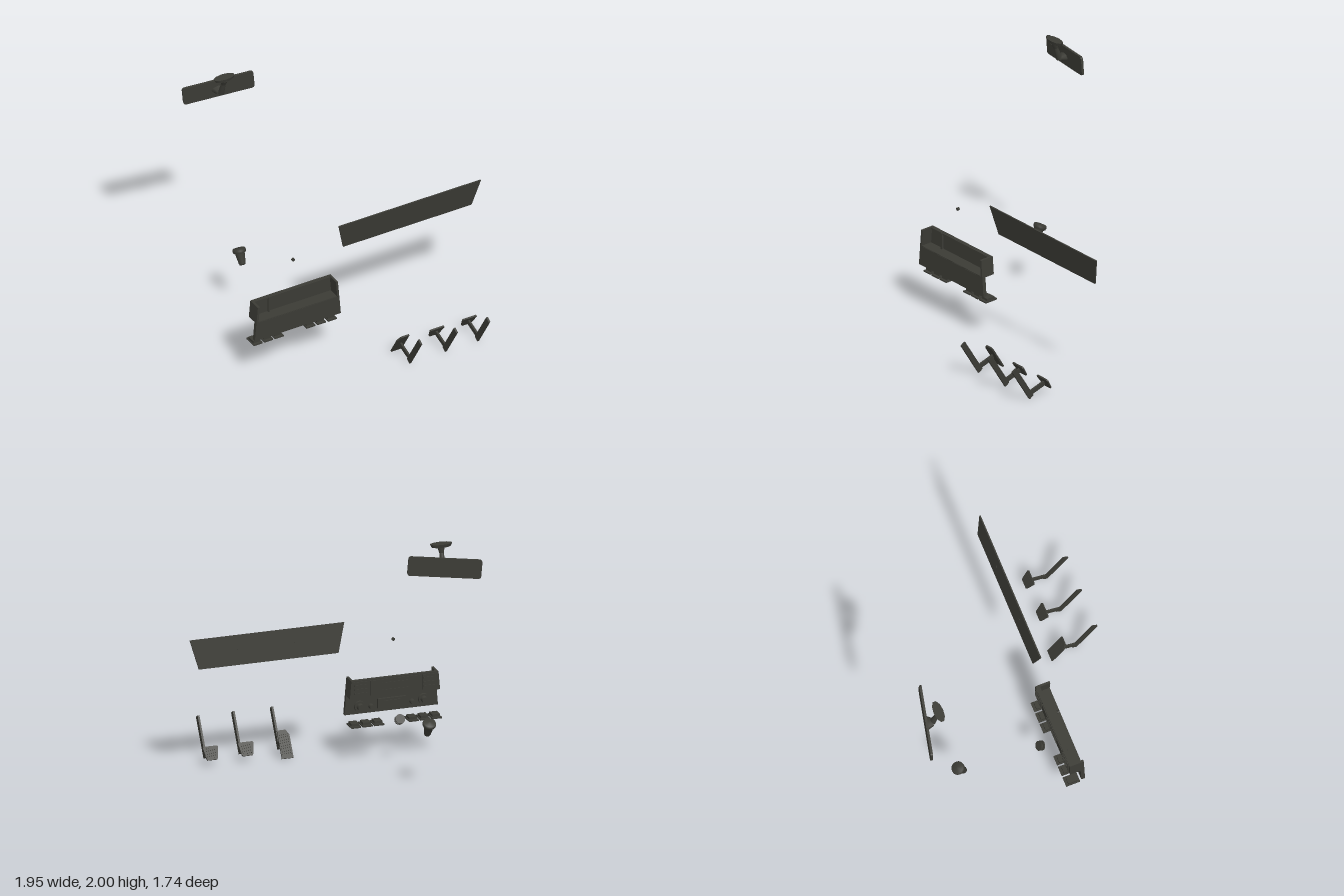
import * as THREE from 'three';

export function createModel() {
  const root = new THREE.Group();
  const mat = new THREE.MeshStandardMaterial({ color: 0x3b3b35 });
  mat.name = 'charcoal trim';

  const group = (name, parent = root) => {
    const g = new THREE.Group();
    g.name = name;
    parent.add(g);
    return g;
  };
  const add = (name, geo, x, y, z, parent = root) => {
    const m = new THREE.Mesh(geo, mat);
    m.name = name;
    m.position.set(x, y, z);
    parent.add(m);
    return m;
  };
  const box = (name, w, h, d, x, y, z, parent) => add(name, new THREE.BoxGeometry(w, h, d), x, y, z, parent);
  const poly = (pts) => new THREE.Shape(pts.map((p) => new THREE.Vector2(p[0], p[1])));
  const plate = (shape, depth) => new THREE.ExtrudeGeometry(shape, { depth, bevelEnabled: false, curveSegments: 16 });
  // Cylinder running from a to b
  const rod = (name, a, b, ra, rb, sides, parent) => {
    const A = new THREE.Vector3(...a), B = new THREE.Vector3(...b);
    const dir = B.clone().sub(A), c = A.clone().add(B).multiplyScalar(0.5);
    const m = add(name, new THREE.CylinderGeometry(rb, ra, dir.length(), sides), c.x, c.y, c.z, parent);
    m.quaternion.setFromUnitVectors(new THREE.Vector3(0, 1, 0), dir.normalize());
    return m;
  };
  const roundedRect = (w, h, r) => {
    const s = new THREE.Shape(), x = w / 2, y = h / 2;
    s.absarc(x - r, y - r, r, 0, Math.PI / 2);
    s.absarc(-x + r, y - r, r, Math.PI / 2, Math.PI);
    s.absarc(-x + r, -y + r, r, Math.PI, Math.PI * 1.5);
    s.absarc(x - r, -y + r, r, Math.PI * 1.5, Math.PI * 2);
    return s;
  };

  // Rear view mirror, turned and rolled on its ceiling mount
  const mirror = group('rearViewMirror');
  const glass = group('mirrorHead', mirror);
  const u = new THREE.Vector3(0.534, 0.05, 0.12).normalize();
  const n = u.clone().cross(new THREE.Vector3(-0.012, 0.14, 0)).normalize();
  glass.quaternion.setFromRotationMatrix(new THREE.Matrix4().makeBasis(u, n.clone().cross(u), n));
  glass.position.set(-0.638, 1.844, -0.803);
  add('mirrorPlate', plate(roundedRect(0.55, 0.147, 0.02), 0.018), 0, 0, -0.009, glass);
  const housing = rod('mirrorSocket', [0, -0.008, 0.008], [0, -0.008, 0.055], 0.056, 0.03, 8, glass);
  housing.scale.z = 0.55;
  rod('mirrorStem', [-0.643, 1.93, -0.717], [-0.643, 1.83, -0.752], 0.017, 0.024, 12, mirror);
  rod('mirrorStemFlare', [-0.643, 1.98, -0.702], [-0.643, 1.93, -0.717], 0.03, 0.017, 12, mirror);
  add('mirrorMount', new THREE.CylinderGeometry(0.088, 0.075, 0.025, 10), -0.643, 1.9875, -0.705, mirror).scale.z = 0.43;

  // Instrument panel with gauge openings, leaning forward at the top
  const panel = group('instrumentPanel');
  panel.position.set(0.37, 0.994, 0.25);
  panel.rotation.x = 0.17;
  const face = poly([[-0.545, -0.112], [0.545, -0.112], [0.603, 0.112], [-0.603, 0.112]]);
  const hole = (x, y, r) => face.holes.push(new THREE.Path().absarc(x, y, r, 0, Math.PI * 2, true));
  hole(0, 0.049, 0.042);
  for (const s of [-1, 1]) {
    hole(s * 0.2225, 0, 0.093);
    hole(s * 0.493, 0.011, 0.028);
    hole(s * 0.396, -0.059, 0.036);
    hole(s * 0.059, -0.059, 0.012);
    const slot = new THREE.Path();
    slot.moveTo(s * 0.396 - 0.04, 0.056);
    slot.quadraticCurveTo(s * 0.396 - 0.036, 0.04, s * 0.396 - 0.018, 0.04);
    slot.lineTo(s * 0.396 + 0.018, 0.04);
    slot.quadraticCurveTo(s * 0.396 + 0.036, 0.04, s * 0.396 + 0.04, 0.056);
    face.holes.push(slot);
    // Gauge needle and hub
    rod('needleHub', [s * 0.2225, 0, -0.003], [s * 0.2225, 0, 0.008], 0.014, 0.014, 16, panel);
    box('needle', 0.08, 0.005, 0.003, s * 0.2225 + 0.035, -0.019, 0.003, panel).rotation.z = -0.49;
  }
  add('panelFace', plate(face, 0.01), 0, 0, -0.002, panel);
  rod('looseButton', [-0.612, 0.931, 0.25], [-0.612, 0.931, 0.265], 0.012, 0.012, 14);

  // Centre console: open tray above, control plate below
  const con = group('centreConsole');
  con.position.x = -0.61;
  const trap = (w0, y0, w1, y1) => poly([[-w0, y0], [w0, y0], [w1, y1], [-w1, y1]]);
  add('controlPlate', plate(trap(0.365, 0.365, 0.352, 0.52), 0.03), 0, 0, 0.295, con);
  add('trayBack', plate(trap(0.352, 0.52, 0.34, 0.655), 0.02), 0, 0, 0.213, con);
  box('trayFloor', 0.7, 0.012, 0.11, 0, 0.519, 0.268, con);
  for (const s of [-1, 1]) {
    const cheek = poly([[s * 0.335, 0.52], [s * 0.352, 0.52], [s * 0.34, 0.655], [s * 0.323, 0.655]]);
    add('trayCheek', plate(cheek, 0.112), 0, 0, 0.213, con);
    box('sideVent', 0.115, 0.115, 0.012, s * 0.268, 0.587, 0.212, con);
    for (let i = -1; i <= 1; i++) box('ventSlat', 0.1, 0.01, 0.01, s * 0.268, 0.587 + i * 0.032, 0.205, con);
    rod('dialBase', [s * 0.25, 0.425, 0.296], [s * 0.25, 0.425, 0.28], 0.042, 0.04, 24, con);
    rod('dialKnob', [s * 0.25, 0.425, 0.282], [s * 0.25, 0.425, 0.25], 0.026, 0.022, 20, con);
    rod('smallKnob', [s * 0.16, 0.415, 0.296], [s * 0.16, 0.415, 0.26], 0.02, 0.017, 16, con);
  }
  box('trayTopRim', 0.66, 0.012, 0.012, 0, 0.648, 0.238, con);
  box('trayDivider', 0.012, 0.13, 0.02, -0.2, 0.587, 0.24, con);
  box('centreVent', 0.39, 0.115, 0.012, 0, 0.587, 0.212, con);
  for (const y of [0.56, 0.615]) box('centreSlat', 0.2, 0.01, 0.01, 0, y, 0.206, con);
  box('radioFront', 0.22, 0.075, 0.02, 0, 0.43, 0.287, con);
  box('radioDisplay', 0.13, 0.03, 0.008, 0, 0.437, 0.274, con);

  // Row of rocker switches under the console
  for (const x of [-0.927, -0.837, -0.747, -0.477, -0.387, -0.297]) {
    const sw = group('rockerSwitch');
    sw.position.set(x, 0, 0.235);
    box('switchBase', 0.075, 0.011, 0.11, 0, 0.301, 0, sw);
    box('switchCap', 0.06, 0.02, 0.07, 0, 0.315, 0, sw);
  }

  // Spool shaped knob in front of the console
  const knob = group('rotaryKnob');
  knob.position.set(-0.612, 0.35, 0.115);
  knob.rotation.x = -1;
  add('knobRim', new THREE.CylinderGeometry(0.037, 0.037, 0.011, 24), 0, 0.012, 0, knob);
  add('knobRim', new THREE.CylinderGeometry(0.037, 0.037, 0.011, 24), 0, -0.012, 0, knob);
  add('knobCore', new THREE.CylinderGeometry(0.024, 0.024, 0.03, 16), 0, 0, 0, knob);

  // Gear lever knob, leaning back
  const profile = [[0, 0], [0.022, 0], [0.026, 0.01], [0.036, 0.085], [0.048, 0.095], [0.051, 0.11], [0.046, 0.125], [0, 0.13]];
  const gear = add('gearKnob', new THREE.LatheGeometry(profile.map((p) => new THREE.Vector2(...p)), 24), -0.612, 0.437, -0.488);
  gear.rotation.x = -0.47;

  // Pedals: swinging arm, link and foot pad
  const smallPad = poly([[-0.036, -0.053], [0.036, -0.053], [0.043, -0.045], [0.06, 0.044], [0.053, 0.052], [-0.053, 0.052], [-0.06, 0.044], [-0.043, -0.045]]);
  const longPad = poly([[-0.045, -0.108], [0.045, -0.108], [0.045, 0.108], [-0.02, 0.108], [-0.045, 0.068]]);
  [['accelerator', 0.13, longPad], ['brake', 0.432, smallPad], ['clutch', 0.707, smallPad]].forEach(([name, x, shape], i) => {
    const p = group(name + 'Pedal');
    p.position.x = x;
    box('pedalArm', 0.015, 0.318, 0.043, 0, 0.154, 0.762, p).rotation.x = 0.552;
    box('pedalLink', 0.015, 0.036, 0.15, 0, 0.073, 0.625, p).rotation.x = 0.29;
    const pad = group('pedalPad', p);
    pad.position.set(0, 0.1, 0.546);
    pad.rotation.x = 0.552;
    add('padPlate', plate(shape, 0.012), 0, 0, -0.006, pad);
    // Grip ribs on the foot side
    const h = i ? 0.07 : 0.15;
    for (let k = -2; k <= 2; k++) box('padRib', 0.007, h, 0.005, k * 0.016, 0, -0.008, pad);
  });
  return root;
}
